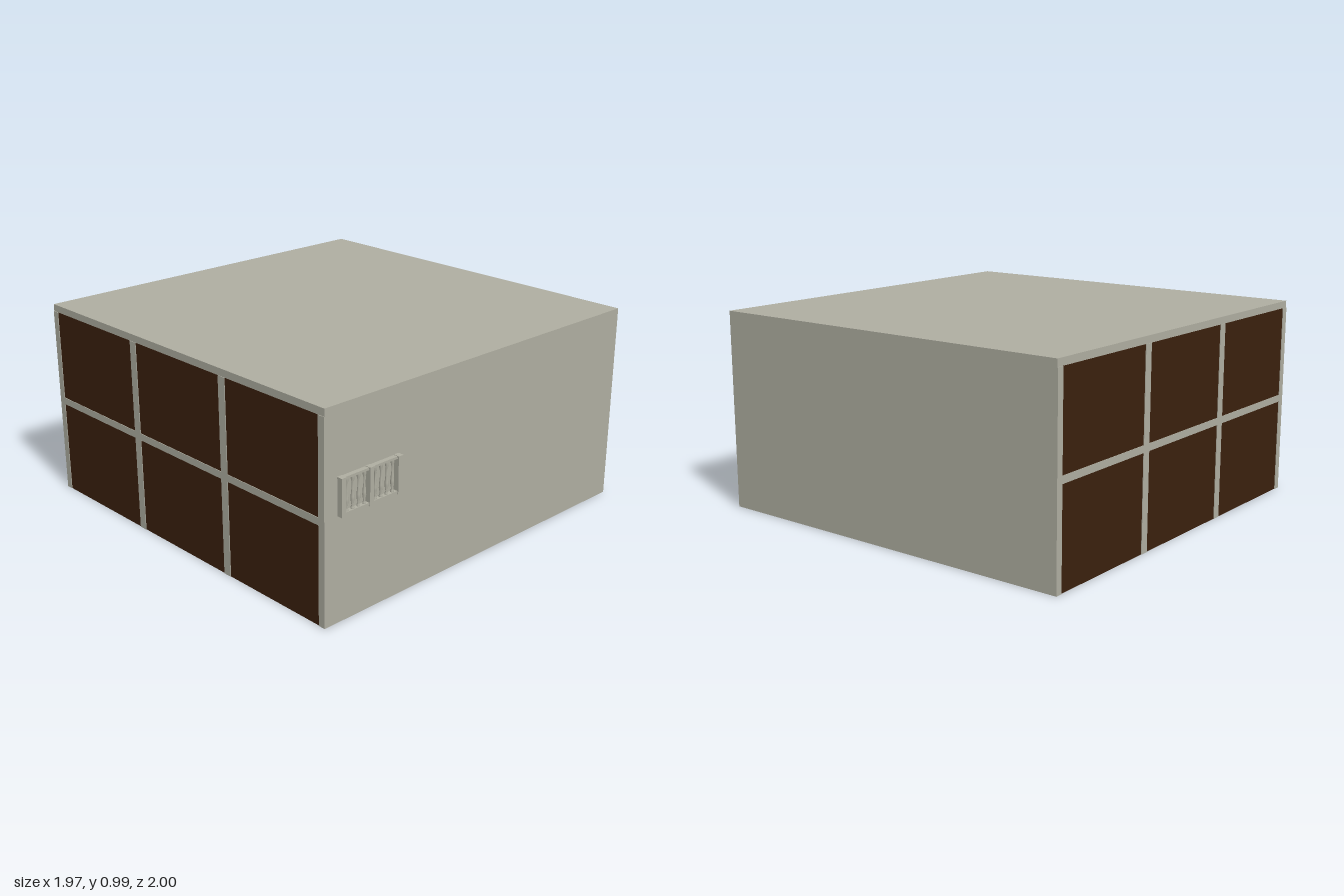
import * as THREE from 'three';

export function createModel() {
  const model = new THREE.Group();
  const plaster = new THREE.MeshStandardMaterial({ color: 0xafaea1 });
  plaster.name = 'grey plaster';
  const wood = new THREE.MeshStandardMaterial({ color: 0x3b200d });
  wood.name = 'dark brown wood';

  // Box given by its lower and upper limits on each axis
  function box(name, material, [x0, x1], [y0, y1], [z0, z1], parent = model) {
    const mesh = new THREE.Mesh(new THREE.BoxGeometry(x1 - x0, y1 - y0, z1 - z0), material);
    mesh.position.set((x0 + x1) / 2, (y0 + y1) / 2, (z0 + z1) / 2);
    mesh.name = name;
    parent.add(mesh);
  }

  const X = 0.985, BACK = -0.997, FRONT = 0.97, TOP = 0.99, T = 0.033;

  // Open-bottomed shell: ceiling slab, two plain walls, two panelled walls
  box('roof', plaster, [-X, X], [TOP - 0.035, TOP], [BACK, FRONT]);
  box('frontWall', plaster, [-X, X], [0, TOP - 0.035], [FRONT - T, FRONT]);
  box('rightWall', plaster, [X - T, X], [0, TOP - 0.035], [BACK, FRONT - T]);
  box('backPanel', wood, [-X, X - T], [0, TOP - 0.035], [BACK, BACK + T]);
  box('sidePanel', wood, [-X, -X + T], [0, TOP - 0.035], [BACK + T, FRONT - T]);

  // Thin beams dividing each panelled wall into three by two fields
  const E = 0.003;
  for (let i = 0; i < 4; i++) {
    const w = i % 3 ? 0.022 : 0.018;
    const x = [X - 0.018, 0.32, -0.33, -X + 0.018][i];
    const z = [BACK + 0.018, -0.325, 0.325, FRONT - 0.018][i];
    box('backPost', plaster, [x - w, x + w], [0, TOP - 0.035], [BACK - E, BACK]);
    box('sidePost', plaster, [-X - E, -X], [0, TOP - 0.035], [z - w, z + w]);
  }
  box('backRail', plaster, [-X, X], [0.47, 0.505], [BACK - E, BACK]);
  box('sideRail', plaster, [-X - E, -X], [0.47, 0.505], [BACK, FRONT]);

  // Balustrade standing against the front wall
  const balustrade = new THREE.Group();
  balustrade.name = 'balustrade';
  model.add(balustrade);
  for (const x of [-0.904, -0.742, -0.574]) {
    box('post', plaster, [x - 0.011, x + 0.011], [0.5, 0.672], [FRONT, 0.997], balustrade);
    box('postCap', plaster, [x - 0.014, x + 0.014], [0.668, 0.677], [FRONT, 1], balustrade);
  }
  box('topRail', plaster, [-0.904, -0.574], [0.664, 0.675], [FRONT, 0.992], balustrade);
  box('bottomRail', plaster, [-0.904, -0.574], [0.503, 0.515], [FRONT, 0.992], balustrade);

  // Turned balusters, four to a bay
  const profile = [
    [0.008, 0.515], [0.008, 0.522], [0.004, 0.53], [0.0085, 0.555], [0.008, 0.57],
    [0.004, 0.61], [0.0045, 0.635], [0.008, 0.65], [0.008, 0.664],
  ].map(([r, y]) => new THREE.Vector2(r, y));
  const turned = new THREE.LatheGeometry(profile, 10);
  for (const start of [-0.874, -0.709]) {
    for (let i = 0; i < 4; i++) {
      const baluster = new THREE.Mesh(turned, plaster);
      baluster.name = 'baluster';
      baluster.position.set(start + i * 0.034, 0, 0.981);
      balustrade.add(baluster);
    }
  }
  return model;
}
